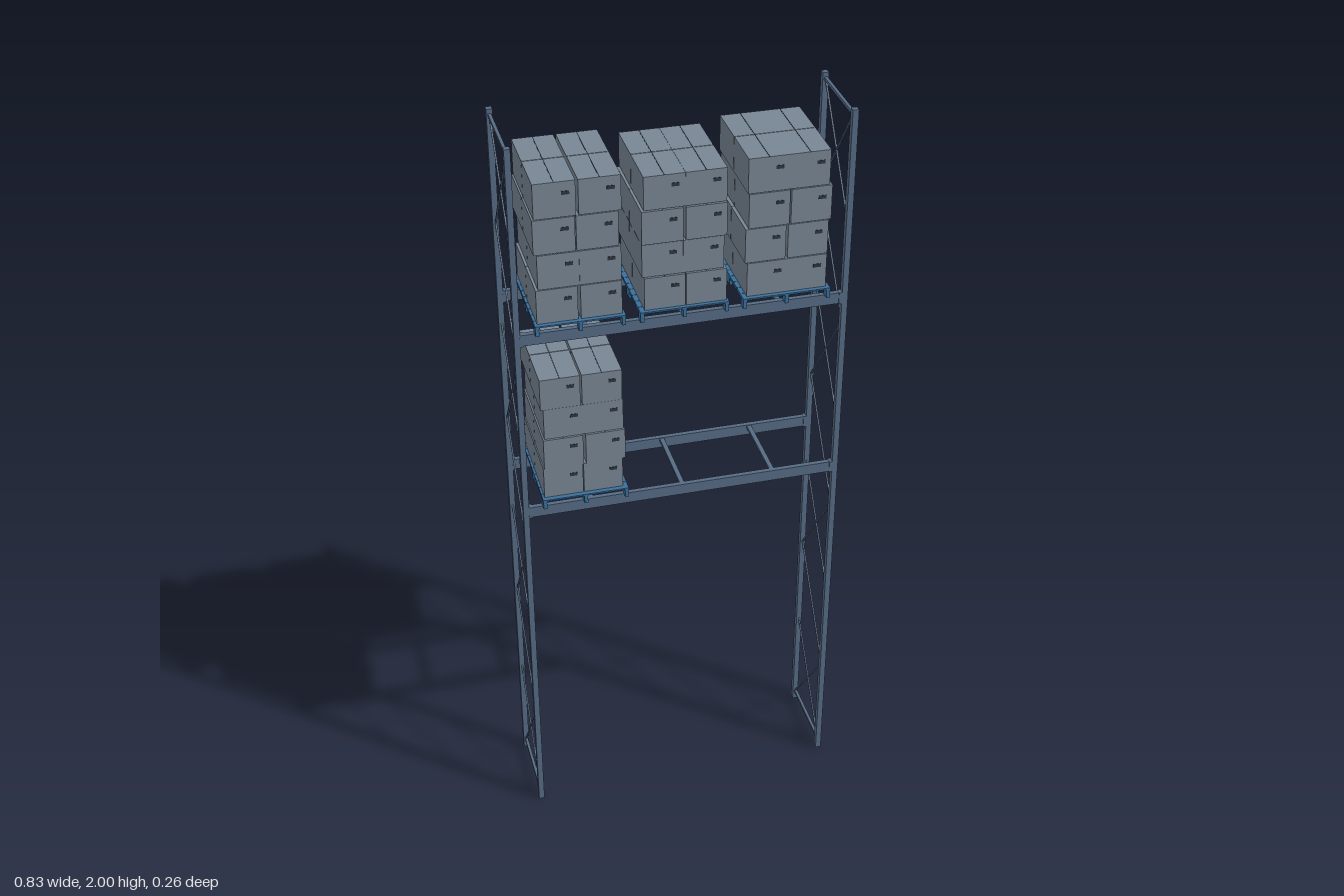
import * as THREE from 'three';

const mat = (color) => new THREE.MeshStandardMaterial({ color });
const steel = mat(0x566b85);
const blue = mat(0x3a6f9c);
const carton = mat(0x788694);
const dark = mat(0x2c3640);

const POST_X = 0.408, POST_Z = 0.109;

function box(parent, name, material, w, h, d, x, y, z) {
  const m = new THREE.Mesh(new THREE.BoxGeometry(w, h, d), material);
  m.name = name;
  m.position.set(x, y, z);
  parent.add(m);
  return m;
}

// Thin bar in a side frame, from (y0, z0) to (y1, z1)
function brace(parent, name, x, y0, z0, y1, z1, t) {
  const len = Math.hypot(y1 - y0, z1 - z0);
  const m = box(parent, name, steel, t, t, len, x, (y0 + y1) / 2, (z0 + z1) / 2);
  m.rotation.x = -Math.atan2(y1 - y0, z1 - z0);
}

// Upright frame: two posts, end ties, alternating crossed and single bays
function uprightFrame(side) {
  const g = new THREE.Group();
  g.name = side > 0 ? 'leftFrame' : 'rightFrame';
  const x = side * POST_X;
  for (const s of [-1, 1]) box(g, 'post', steel, 0.015, 2, 0.016, x, 1, s * POST_Z);
  const bays = 7, y0 = 0.03, step = 1.955 / bays, z = 0.102;
  for (const y of [y0, y0 + bays * step]) brace(g, 'endTie', x, y, -z, y, z, 0.008);
  for (let i = 0; i < bays; i++) {
    const a = y0 + i * step, b = a + step;
    brace(g, 'diagonal', x, a, z, b, -z, 0.004);
    if (i % 2 === 0) brace(g, 'crossDiagonal', x, a, -z, b, z, 0.004);
  }
  return g;
}

// Shelf level: two beams with end brackets and cross ties
function shelf(top) {
  const g = new THREE.Group();
  g.name = 'shelfLevel';
  for (const s of [-1, 1]) {
    box(g, 'beam', steel, 0.802, 0.03, 0.013, 0, top - 0.015, s * POST_Z);
    for (const e of [-1, 1])
      box(g, 'beamBracket', steel, 0.009, 0.032, 0.017, e * 0.397, top - 0.015, s * POST_Z);
  }
  for (const x of [-0.24, 0, 0.24]) box(g, 'crossTie', steel, 0.012, 0.008, 0.206, x, top - 0.006, 0);
  return g;
}

// Pallet: slatted deck on three runners with nine feet
function pallet() {
  const g = new THREE.Group();
  g.name = 'pallet';
  const w = 0.22, d = 0.265, n = 9, pitch = d / n;
  for (let i = 0; i < n; i++)
    box(g, 'slat', blue, w, 0.004, pitch - 0.0015, 0, 0.025, (i + 0.5) * pitch - d / 2);
  for (const i of [-1, 0, 1]) {
    const x = i * (w / 2 - 0.005);
    box(g, 'runner', blue, 0.01, 0.004, d - 0.002, x, 0.021, 0);
    for (const j of [-1, 0, 1])
      box(g, 'foot', blue, 0.009, 0.021, 0.023, x, 0.0105, j * (d / 2 - 0.0125));
  }
  return g;
}

// Stack of cartons, two by two in plan and four layers high, slightly shifted
function cartonStack(height, seed) {
  const g = new THREE.Group();
  g.name = 'cartonStack';
  const layers = 4, h = height / layers, w = 0.1, d = 0.121;
  for (let k = 0; k < layers; k++) {
    for (const i of [-1, 1]) {
      for (const j of [-1, 1]) {
        const c = new THREE.Group();
        c.name = 'carton';
        const shift = 0.004 * Math.sin(k * 2.3 + seed + i * 0.5);
        c.position.set(i * 0.0515 + shift, 0.027 + (k + 0.5) * h, j * 0.0615 + 0.0015 * Math.sin(k * 3.1 + seed));
        box(c, 'cartonBody', carton, w, h - 0.002, d, 0, 0, 0);
        // Flap seam on the lid
        box(c, 'flapSeam', dark, 0.002, 0.001, d, 0, h / 2 - 0.0008, 0);
        // Hand hole near the upper edge
        if (j > 0) box(c, 'handHole', dark, 0.019, 0.009, 0.002, 0.026, 0.016, d / 2);
        g.add(c);
      }
    }
  }
  return g;
}

export function createModel() {
  const model = new THREE.Group();
  model.name = 'palletRack';
  for (const s of [-1, 1]) model.add(uprightFrame(s));
  const low = 1.012, high = 1.517;
  model.add(shelf(low), shelf(high));

  // Loaded pallets: x, shelf top, load height, layer shift seed
  const loads = [
    [-0.256, high, 0.366, 0],
    [-0.001, high, 0.351, 1.7],
    [0.254, high, 0.366, 3.1],
    [-0.256, low, 0.35, 4.4],
  ];
  for (const [x, y, height, seed] of loads) {
    const g = new THREE.Group();
    g.name = 'loadedPallet';
    g.add(pallet(), cartonStack(height, seed));
    g.position.set(x, y, -0.001);
    model.add(g);
  }
  return model;
}
